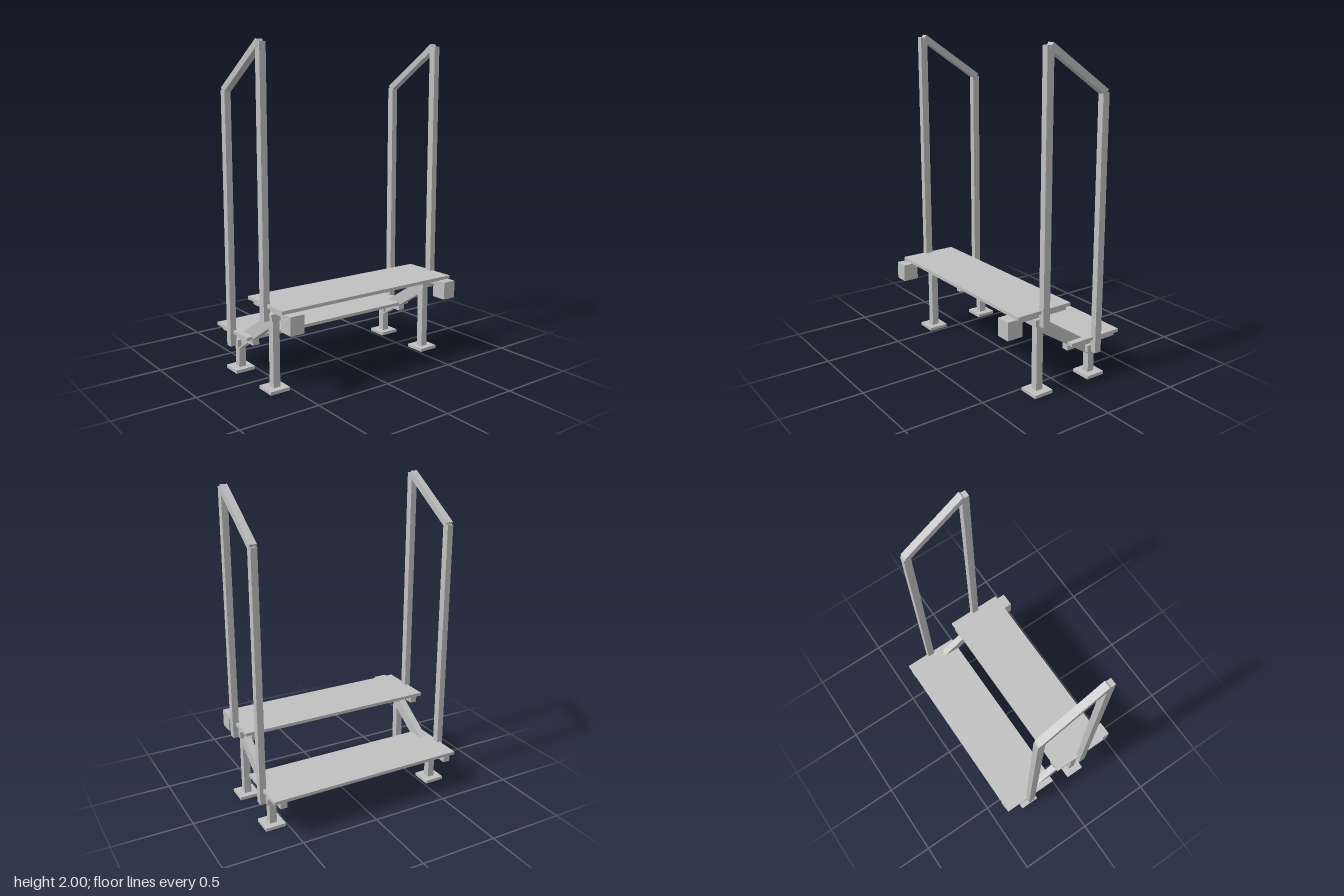
import * as THREE from 'three';

const metal = new THREE.MeshStandardMaterial({ color: 0xc0c0c0 });
metal.name = 'light grey metal';

// Box given by its min and max on each axis
function box(parent, name, [x0, x1], [y0, y1], [z0, z1]) {
  const mesh = new THREE.Mesh(new THREE.BoxGeometry(x1 - x0, y1 - y0, z1 - z0), metal);
  mesh.position.set((x0 + x1) / 2, (y0 + y1) / 2, (z0 + z1) / 2);
  mesh.name = name;
  parent.add(mesh);
  return mesh;
}

const legX = [0.557, 0.602];
const postX = [0.62, 0.66];

// One step level: tread height, tread depth range, centre of post and leg, post top
const levels = [
  { name: 'upper', top: 0.53, z: [-0.02, 0.355], post: 0.17, postTop: 1.985 },
  { name: 'lower', top: 0.265, z: [-0.415, -0.04], post: -0.23, postTop: 1.72 },
];

function buildSide(side) {
  const g = new THREE.Group();
  g.name = side > 0 ? 'leftFrame' : 'rightFrame';
  for (const { name, top, z, post, postTop } of levels) {
    const railY = [top - 0.057, top - 0.02];
    const padY = [top - 0.1, railY[0]];
    const around = (r) => [post - r, post + r];
    box(g, name + 'TreadRail', legX, railY, z);
    box(g, name + 'PostPad', [0.535, 0.625], padY, around(0.05));
    box(g, name + 'Post', postX, [padY[0], postTop], around(0.023));
    box(g, name + 'Leg', legX, [0.02, padY[0]], around(0.023));
    box(g, name + 'Foot', [0.516, 0.646], [0, 0.02], around(0.064));
  }

  // Mounting block at the front of the upper step
  box(g, 'frontBlock', [0.535, 0.625], [0.4, 0.51], [0.315, 0.415]);

  // Sloping stringer between the two legs, drawn in z and y
  const profile = [[0.155, 0.373], [-0.207, 0.14], [-0.207, 0.226], [0.125, 0.443], [0.155, 0.443]];
  const shape = new THREE.Shape(profile.map(([z, y]) => new THREE.Vector2(-z, y)));
  const stringer = new THREE.Mesh(
    new THREE.ExtrudeGeometry(shape, { depth: legX[1] - legX[0], bevelEnabled: false }), metal);
  stringer.rotation.y = Math.PI / 2;
  stringer.position.x = legX[0];
  stringer.name = 'stringer';
  g.add(stringer);

  // Sloping handrail across the post tops
  const rise = 0.265, run = 0.4;
  const half = Math.hypot(rise, run) / 2;
  const handrail = box(g, 'handrail', [0.618, 0.662], [-0.02, 0.02], [-half, half]);
  handrail.position.set(0.64, 1.8505, -0.035);
  handrail.rotation.x = -Math.atan2(rise, run);

  // Mirror the positions; every piece is symmetric across its own width
  if (side < 0) {
    for (const m of g.children) m.position.x *= -1;
    stringer.position.x = -legX[1];
  }
  return g;
}

export function createModel() {
  const model = new THREE.Group();
  model.name = 'stepStand';
  for (const { name, top, z } of levels) {
    box(model, name + 'Tread', [-0.64, 0.64], [top - 0.02, top], z);
  }
  model.add(buildSide(1), buildSide(-1));
  return model;
}
